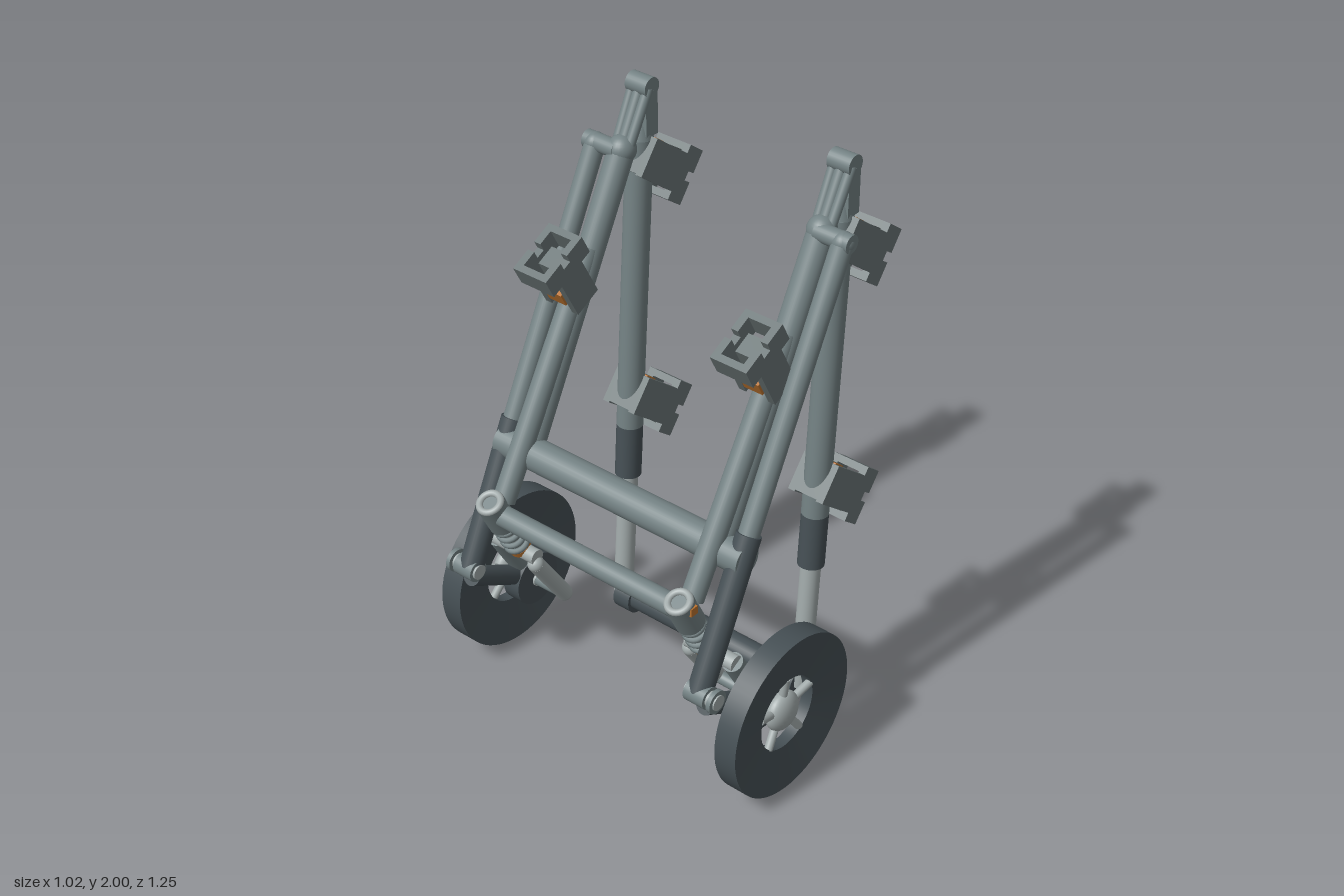
import * as THREE from 'three';

const mat = (name, color, side = THREE.FrontSide) => {
  const m = new THREE.MeshStandardMaterial({ color, side });
  m.name = name;
  return m;
};

export function createModel() {
  const steel = mat('steel grey', 0x748284);
  const bracket = mat('bracket grey', 0x6b7677);
  const dark = mat('dark grey', 0x465055, THREE.DoubleSide);
  const light = mat('light metal', 0xa2abab);
  const orange = mat('orange', 0xb9722f);

  const V = (x, y, z) => new THREE.Vector3(x, y, z);
  const add = (parent, name, geo, m, p) => {
    const mesh = new THREE.Mesh(geo, m);
    mesh.name = name;
    if (p) mesh.position.copy(p);
    parent.add(mesh);
    return mesh;
  };
  // Round bar between two points
  const rod = (parent, name, a, b, r, m, r2 = r) => {
    const d = b.clone().sub(a);
    const mesh = add(parent, name, new THREE.CylinderGeometry(r2, r, d.length(), 28), m,
      a.clone().add(b).multiplyScalar(0.5));
    mesh.quaternion.setFromUnitVectors(V(0, 1, 0), d.normalize());
    return mesh;
  };
  const ball = (parent, name, p, r, m) => add(parent, name, new THREE.SphereGeometry(r, 24, 16), m, p);

  // Open T-shaped holder running from a tube (base) out to its head (tip)
  function holder(parent, name, base, tip, stem) {
    const g = new THREE.Group();
    g.name = name;
    g.position.copy(base);
    const d = tip.clone().sub(base), L = d.length(), s = stem / 2, h = 0.094, n = 0.016;
    g.rotation.z = Math.atan2(-d.x, d.y);
    parent.add(g);
    const outline = new THREE.Shape([
      [-s, 0], [s, 0], [s, L - 0.075], [h, L - 0.075], [h, L], [n, L], [n, L - 0.03],
      [-n, L - 0.03], [-n, L], [-h, L], [-h, L - 0.075], [-s, L - 0.075],
    ].map(([x, y]) => new THREE.Vector2(x, y)));
    const cheek = new THREE.ExtrudeGeometry(outline, { depth: 0.026, bevelEnabled: false });
    for (const z of [-0.068, 0.042]) add(g, 'holderCheek', cheek, bracket, V(0, 0, z));
    add(g, 'holderCore', new THREE.BoxGeometry(stem - 0.035, L - 0.05, 0.085), bracket,
      V(0.012, (L - 0.05) / 2, 0));
    for (const e of [-1, 1])
      add(g, 'holderRim', new THREE.BoxGeometry(0.024, 0.075, 0.09), bracket, V(e * (h - 0.012), L - 0.0375, 0));
    add(g, 'holderLatch', new THREE.BoxGeometry(0.03, 0.05, 0.07), orange, V(-s + 0.012, 0.06, 0));
  }

  function wheel(parent) {
    const g = new THREE.Group();
    g.name = 'wheel';
    g.position.set(-0.19, 0.287, 0.585);
    parent.add(g);
    // Dished disc with an open centre
    const profile = [[0.13, -0.02], [0.285, -0.041], [0.285, -0.041], [0.285, 0.041], [0.285, 0.041],
      [0.13, 0.02], [0.13, 0.02], [0.13, -0.02]].map(([r, z]) => new THREE.Vector2(r, z));
    add(g, 'tyre', new THREE.LatheGeometry(profile, 64), dark).rotation.x = Math.PI / 2;
    add(g, 'hub', new THREE.SphereGeometry(0.07, 28, 18), light).scale.z = 0.55;
    for (let i = 0; i < 5; i++) {
      const a = 0.3 + i * Math.PI * 0.4;
      rod(g, 'spoke', V(0.05 * Math.cos(a), 0.05 * Math.sin(a), 0),
        V(0.133 * Math.cos(a), 0.133 * Math.sin(a), 0.01), 0.014, light);
    }
  }

  function sideFrame() {
    const g = new THREE.Group();
    const zi = 0.39, zo = 0.482;

    // Telescopic front leg
    rod(g, 'legInner', V(0.167, 0.06, zi), V(0.21, 0.7, zi), 0.034, light);
    rod(g, 'legSleeve', V(0.199, 0.545, zi), V(0.211, 0.74, zi), 0.045, dark);
    rod(g, 'frontLeg', V(0.211, 0.74, zi), V(0.275, 1.79, zi), 0.045, steel);
    rod(g, 'legFoot', V(0.17, 0.06, 0.32), V(0.17, 0.06, 0.388), 0.06, dark);

    // Fork and pivot at the top
    rod(g, 'forkBase', V(0.275, 1.79, zi), V(0.279, 1.85, zi), 0.045, steel, 0.03);
    for (const e of [-1, 1])
      add(g, 'forkProng', new THREE.BoxGeometry(0.055, 0.17, 0.017), steel, V(0.288, 1.885, zi + e * 0.032));
    rod(g, 'forkPin', V(0.288, 1.966, zi - 0.041), V(0.288, 1.966, zi + 0.041), 0.034, steel);

    // Inner and outer handle tubes
    rod(g, 'innerTube', V(-0.272, 0.89, zi), V(0.19, 1.78, zi), 0.044, steel);
    ball(g, 'innerTubeEnd', V(0.19, 1.78, zi), 0.048, steel);
    rod(g, 'handleLink', V(0.19, 1.78, zi), V(0.283, 1.962, zi), 0.02, steel);
    for (const e of [-1, 1])
      rod(g, 'handleLinkSide', V(0.19, 1.78, zi + e * 0.025), V(0.283, 1.962, zi + e * 0.03), 0.017, steel);
    rod(g, 'outerTube', V(-0.255, 0.94, zo), V(0.17, 1.78, zo), 0.034, steel);
    ball(g, 'outerTubeEnd', V(0.17, 1.78, zo), 0.036, steel);
    rod(g, 'outerTubePin', V(0.17, 1.785, zi), V(0.17, 1.785, 0.515), 0.03, steel);
    rod(g, 'outerSleeve', V(-0.472, 0.49, zo), V(-0.245, 0.96, zo), 0.041, dark);
    rod(g, 'rearStrut', V(-0.4, 0.76, zi), V(0.03, 1.5, zi), 0.038, steel);

    // Rear pivot with flange
    rod(g, 'rearPivot', V(-0.475, 0.49, 0.44), V(-0.475, 0.49, 0.56), 0.026, light);
    rod(g, 'pivotBoss', V(-0.475, 0.49, 0.448), V(-0.475, 0.49, 0.525), 0.038, steel);
    rod(g, 'pivotFlange', V(-0.475, 0.49, 0.54), V(-0.475, 0.49, 0.555), 0.04, steel);

    // Shock absorber: hollow cup, piston and spring
    const top = V(-0.462, 0.785, zi), low = V(-0.33, 0.525, zi);
    const at = t => top.clone().lerp(low, t);
    const cup = rod(g, 'shockCup', top, at(0.42), 0.048, steel);
    const rim = add(g, 'shockRim', new THREE.TorusGeometry(0.036, 0.012, 10, 28), light, top);
    rim.quaternion.copy(cup.quaternion).multiply(
      new THREE.Quaternion().setFromAxisAngle(V(1, 0, 0), Math.PI / 2));
    rod(g, 'shockPiston', at(0.4), low, 0.022, light);
    for (let i = 0; i < 4; i++) {
      const coil = add(g, 'springCoil', new THREE.TorusGeometry(0.036, 0.01, 8, 24), steel, at(0.48 + i * 0.12));
      coil.quaternion.copy(rim.quaternion);
    }
    rod(g, 'shockCollar', at(0.9), at(0.97), 0.036, orange);
    add(g, 'shockTab', new THREE.BoxGeometry(0.03, 0.028, 0.02), orange, V(-0.45, 0.768, zi + 0.042));

    // Suspension arm, lever and wheel mount
    rod(g, 'wheelArm', V(-0.46, 0.44, 0.495), V(-0.19, 0.287, 0.495), 0.034, dark);
    rod(g, 'armUpright', V(-0.33, 0.525, 0.495), V(-0.19, 0.287, 0.495), 0.034, steel);
    rod(g, 'armPivot', V(-0.33, 0.525, 0.32), V(-0.33, 0.525, 0.51), 0.027, light);
    rod(g, 'wheelDrum', V(-0.19, 0.287, 0.458), V(-0.19, 0.287, 0.525), 0.095, dark);
    rod(g, 'axle', V(-0.19, 0.287, 0.45), V(-0.19, 0.287, 0.6), 0.025, light);
    const lever = [V(-0.33, 0.495, 0.328), V(-0.2, 0.3, 0.328)];
    rod(g, 'lever', lever[0], lever[1], 0.028, light);
    for (const p of lever) ball(g, 'leverEnd', p, 0.028, light);
    rod(g, 'leverLink', lever[1], V(-0.19, 0.287, 0.47), 0.022, steel);
    wheel(g);

    // Holders on the leg and the rear tube
    holder(g, 'upperHolder', V(0.243, 1.75, zi), V(0.447, 1.595, zi), 0.13);
    holder(g, 'lowerHolder', V(0.195, 0.885, zi), V(0.397, 0.725, zi), 0.13);
    holder(g, 'rearHolder', V(-0.055, 1.365, zi), V(-0.16, 1.565, zi), 0.105);
    return g;
  }

  const model = new THREE.Group();
  model.name = 'foldingFrame';
  for (const s of [1, -1]) {
    const side = sideFrame();
    side.name = s > 0 ? 'frontSideFrame' : 'backSideFrame';
    side.scale.z = s;
    model.add(side);
  }

  // Cross bars joining both frames
  rod(model, 'footBar', V(0.17, 0.065, -0.34), V(0.17, 0.065, 0.34), 0.048, dark);
  rod(model, 'mainCrossBar', V(-0.275, 0.885, -0.5), V(-0.275, 0.885, 0.5), 0.055, steel);
  rod(model, 'rearCrossBar', V(-0.437, 0.735, -0.39), V(-0.437, 0.735, 0.39), 0.036, steel);
  return model;
}
